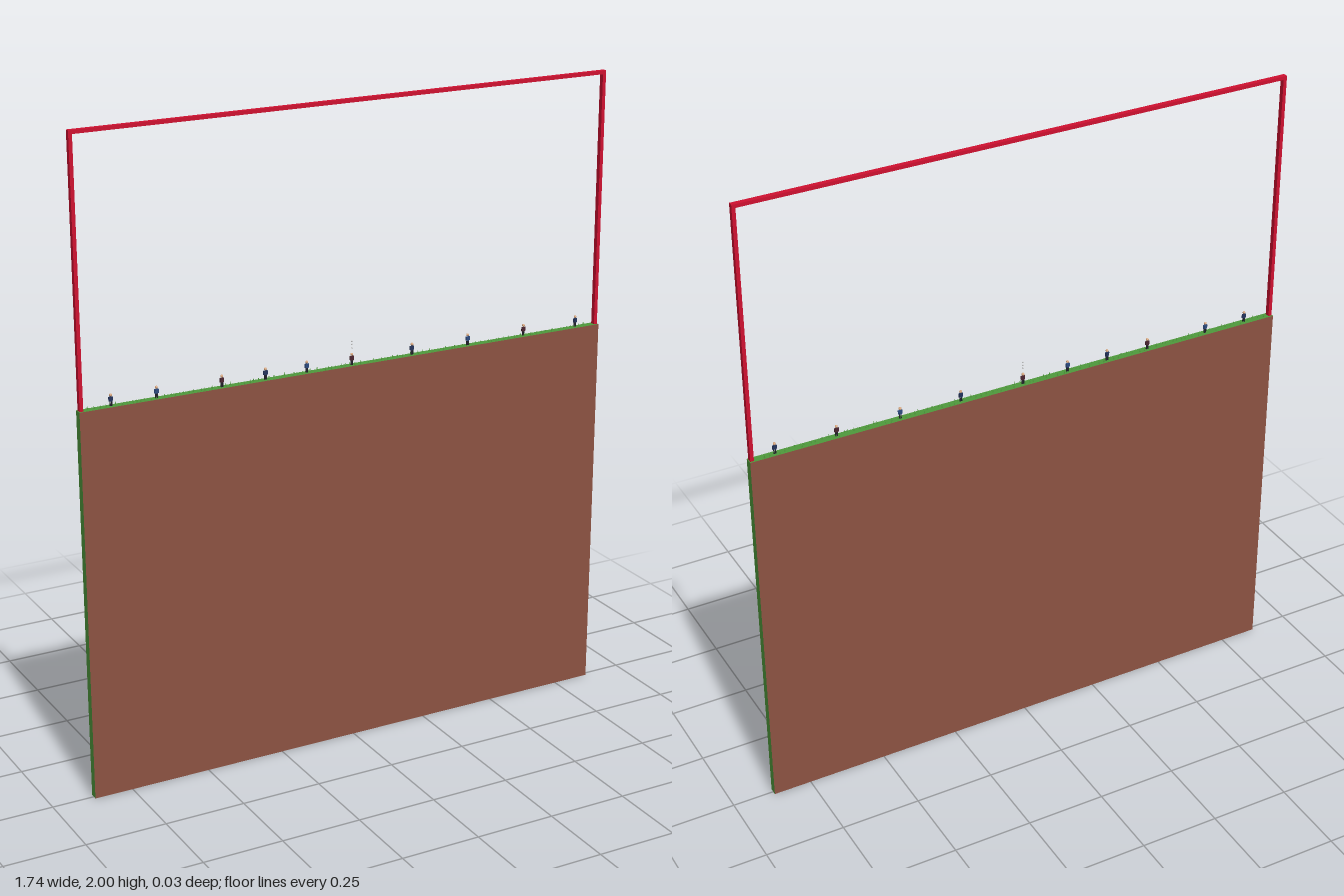
import * as THREE from 'three';

const GROUND = 1.205, HALF = 0.87;

function mat(color) {
  return new THREE.MeshStandardMaterial({ color, flatShading: true });
}

function add(parent, name, geometry, material, x, y, z) {
  const mesh = new THREE.Mesh(geometry, material);
  mesh.name = name;
  mesh.position.set(x, y, z);
  parent.add(mesh);
  return mesh;
}

export function createModel() {
  const group = new THREE.Group();
  const soil = mat(0x8d5342), grass = mat(0x4f9a3c), red = mat(0xd01030);
  const skin = mat(0xd9a880), dark = mat(0x22222c), white = mat(0xeeeeee);
  const shirts = [mat(0x24345c), mat(0x2c4a80), mat(0x4a2430)];

  // Slab of earth: brown faces, green top and ends (order +x -x +y -y +z -z)
  add(group, 'groundSlab', new THREE.BoxGeometry(HALF * 2, GROUND, 0.025),
    [grass, grass, grass, soil, soil, soil], 0, GROUND / 2, 0);

  // Red frame above the ground
  const bar = 0.011, depth = 0.015;
  const postHeight = 2 - bar - GROUND;
  for (const side of [-1, 1]) {
    add(group, side > 0 ? 'leftPost' : 'rightPost',
      new THREE.BoxGeometry(bar, postHeight, depth), red,
      side * 0.862, GROUND + postHeight / 2, 0);
  }
  add(group, 'crossbar', new THREE.BoxGeometry(0.862 * 2 + bar, bar, depth), red, 0, 2 - bar / 2, 0);

  // Small standing figures
  const leg = new THREE.BoxGeometry(0.003, 0.014, 0.003);
  const torso = new THREE.BoxGeometry(0.008, 0.013, 0.005);
  const arm = new THREE.BoxGeometry(0.0025, 0.012, 0.003);
  const head = new THREE.SphereGeometry(0.0045, 8, 6);
  const places = [-0.77, -0.63, -0.425, -0.285, -0.15, 0, 0.205, 0.4, 0.6, 0.79];
  places.forEach((x, i) => {
    const figure = new THREE.Group();
    figure.name = 'figure';
    figure.position.set(x, GROUND, 0);
    const shirt = shirts[i % shirts.length];
    for (const s of [-1, 1]) {
      add(figure, 'leg', leg, dark, s * 0.0024, 0.007, 0);
      add(figure, 'arm', arm, shirt, s * 0.0055, 0.021, 0);
    }
    add(figure, 'torso', torso, shirt, 0, 0.0205, 0);
    add(figure, 'head', head, skin, 0, 0.0325, 0);
    group.add(figure);
  });

  // Little balls above the middle figure
  const ball = new THREE.SphereGeometry(0.0025, 8, 6);
  for (const y of [1.258, 1.268, 1.278]) add(group, 'ball', ball, white, 0, y, 0);

  // Grass tufts, spread by a seeded sequence
  let seed = 7;
  const random = () => (seed = (seed * 16807) % 2147483647) / 2147483647;
  const blade = new THREE.ConeGeometry(0.0025, 0.01, 4);
  const count = 110;
  const tufts = new THREE.Group();
  tufts.name = 'grassTufts';
  for (let i = 0; i < count; i++) {
    const x = -0.84 + 1.68 * (i + random()) / count;
    const h = 0.6 + 0.5 * random();
    add(tufts, 'grassTuft', blade, grass, x, GROUND + 0.005 * h, (random() - 0.5) * 0.018).scale.y = h;
  }
  group.add(tufts);

  return group;
}
